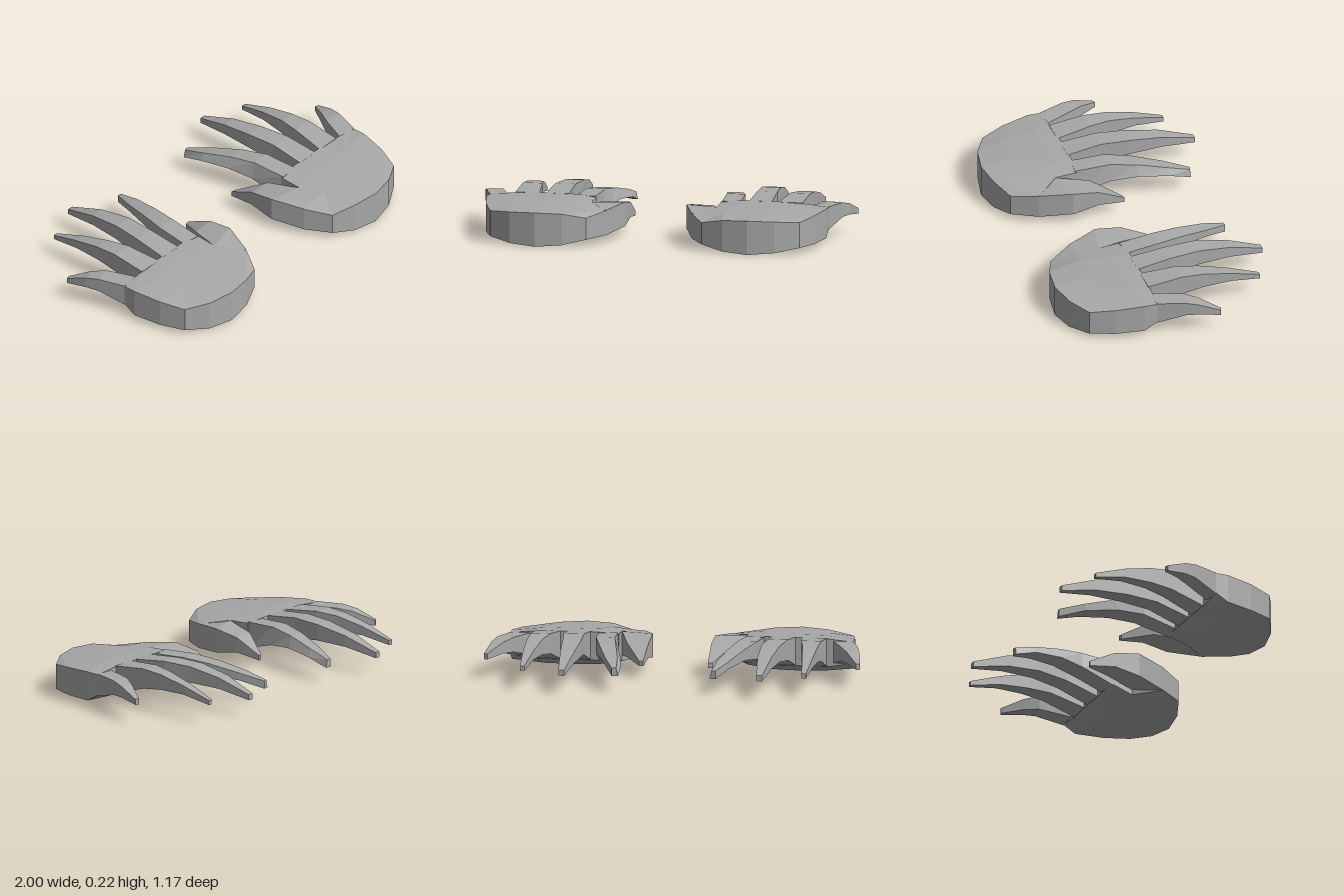
import * as THREE from 'three';

// Closed slab from rows of points [x, z, top, bottom, bottomShift].
// Rows run towards -z; points in a row run towards +x. side = -1 mirrors it.
function slab(rows, side) {
  const pos = [];
  const grid = rows.map(row => {
    const pts = row.map(([x, z, t, b, dx = 0]) => ({
      t: [side * x, t, z],
      b: [side * (x + dx), b, z],
    }));
    return side < 0 ? pts.reverse() : pts;
  });
  const quad = (a, b, c, d) => pos.push(...a, ...b, ...c, ...a, ...c, ...d);
  const wall = (p, q) => quad(p.b, q.b, q.t, p.t);
  const last = grid.length - 1, n = grid[0].length - 1;
  for (let r = 0; r < last; r++) {
    for (let c = 0; c < n; c++) {
      const p = grid[r][c], q = grid[r][c + 1], s = grid[r + 1][c + 1], u = grid[r + 1][c];
      quad(p.t, q.t, s.t, u.t);
      quad(p.b, u.b, s.b, q.b);
    }
    wall(grid[r + 1][0], grid[r][0]);
    wall(grid[r][n], grid[r + 1][n]);
  }
  for (let c = 0; c < n; c++) {
    wall(grid[0][c], grid[0][c + 1]);
    wall(grid[last][c + 1], grid[last][c]);
  }
  const geo = new THREE.BufferGeometry();
  geo.setAttribute('position', new THREE.Float32BufferAttribute(pos, 3));
  geo.computeVertexNormals();
  return geo;
}

// Palm: rounded heel first, knuckle line last
const palm = [
  [[0.31, 0.51, 0.15, 0.035], [0.43, 0.56, 0.175, 0.01], [0.57, 0.58, 0.18, 0], [0.71, 0.55, 0.175, 0.01], [0.83, 0.48, 0.165, 0.03]],
  [[0.23, 0.38, 0.17, 0.04], [0.4, 0.37, 0.19, 0.012], [0.57, 0.37, 0.195, 0.008], [0.74, 0.37, 0.19, 0.012], [0.88, 0.35, 0.18, 0.03]],
  [[0.335, 0.25, 0.19, 0.03], [0.45, 0.23, 0.203, 0.015], [0.57, 0.22, 0.204, 0.012], [0.74, 0.22, 0.203, 0.015], [0.91, 0.2, 0.19, 0.035]],
  [[0.333, 0.13, 0.195, 0.07], [0.45, 0.12, 0.205, 0.055], [0.62, 0.12, 0.206, 0.055], [0.79, 0.125, 0.2, 0.055], [0.91, 0.13, 0.187, 0.075]],
];

// Fingers: each section is [left x, left z, right x, right z, top, bottom, left bottom shift]
const digits = {
  thumb: [
    [0.23, 0.38, 0.37, 0.36, 0.172, 0.04],
    [0.165, 0.21, 0.335, 0.25, 0.188, 0.06],
    [0.165, 0.07, 0.285, 0.08, 0.165, 0.085],
    [0.172, -0.075, 0.195, -0.07, 0.092, 0.065],
  ],
  indexFinger: [
    [0.34, 0.14, 0.44, 0.13, 0.2, 0.06, -0.01],
    [0.325, -0.05, 0.425, -0.05, 0.207, 0.115, -0.02],
    [0.298, -0.19, 0.385, -0.19, 0.19, 0.13, -0.025],
    [0.265, -0.35, 0.33, -0.35, 0.155, 0.115, -0.02],
    [0.253, -0.47, 0.275, -0.475, 0.122, 0.08, -0.01],
  ],
  middleFinger: [
    [0.483, 0.13, 0.605, 0.13, 0.206, 0.055],
    [0.488, -0.06, 0.595, -0.06, 0.225, 0.115],
    [0.478, -0.22, 0.575, -0.22, 0.219, 0.133],
    [0.487, -0.4, 0.56, -0.4, 0.188, 0.128],
    [0.51, -0.588, 0.54, -0.588, 0.125, 0.095],
  ],
  ringFinger: [
    [0.64, 0.13, 0.77, 0.13, 0.205, 0.055],
    [0.665, -0.06, 0.77, -0.06, 0.222, 0.115],
    [0.69, -0.18, 0.77, -0.18, 0.212, 0.13],
    [0.712, -0.33, 0.768, -0.33, 0.178, 0.13],
    [0.735, -0.495, 0.758, -0.495, 0.125, 0.1],
  ],
  littleFinger: [
    [0.8, 0.14, 0.91, 0.13, 0.19, 0.07],
    [0.868, -0.03, 0.955, -0.01, 0.19, 0.113],
    [0.912, -0.1, 0.975, -0.08, 0.175, 0.115],
    [0.978, -0.2, 0.998, -0.193, 0.13, 0.1],
  ],
};

export function createModel() {
  const skin = new THREE.MeshStandardMaterial({ color: 0xa8a8a8, flatShading: true });
  skin.name = 'grey';
  const model = new THREE.Group();
  model.name = 'hands';

  for (const side of [1, -1]) {
    const hand = new THREE.Group();
    hand.name = side > 0 ? 'leftHand' : 'rightHand';
    const add = (name, rows) => {
      const mesh = new THREE.Mesh(slab(rows, side), skin);
      mesh.name = name;
      hand.add(mesh);
    };
    add('palm', palm);
    for (const [name, sections] of Object.entries(digits)) {
      add(name, sections.map(([xl, zl, xr, zr, top, bottom, shift]) => [
        [xl, zl, top, bottom, shift],
        [xr, zr, top, bottom],
      ]));
    }
    model.add(hand);
  }
  return model;
}
